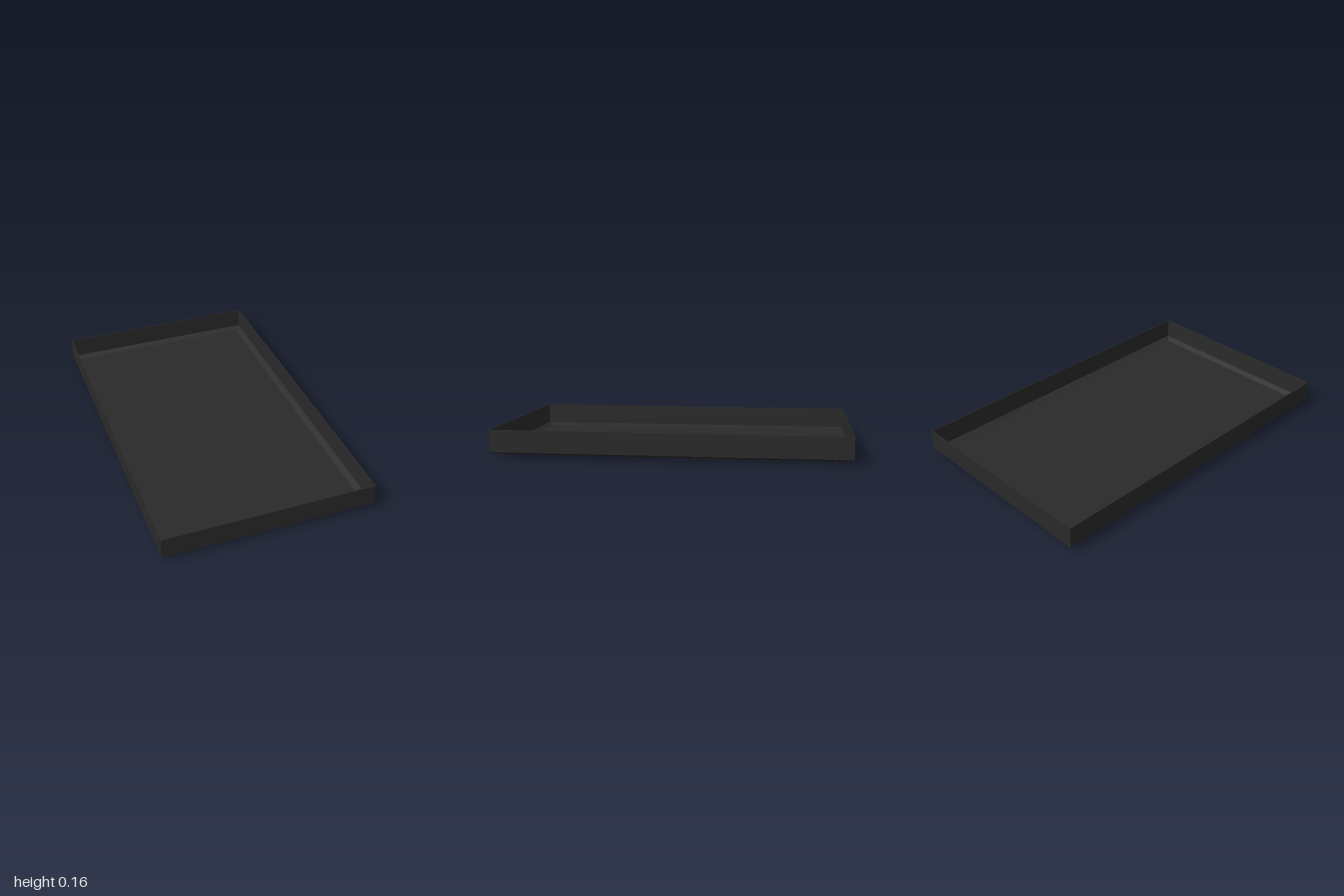
import * as THREE from 'three';

const DARK = new THREE.MeshStandardMaterial({ color: 0x2a2a2a, flatShading: true, side: THREE.DoubleSide });
const GREY = new THREE.MeshStandardMaterial({ color: 0xcccccc });

// Lofts rectangular rings [halfX, y, halfZ] into a closed, flat-faced shell
function loftRectangles(rings) {
  const points = [];
  const corners = ([x, y, z]) => [[x, y, z], [x, y, -z], [-x, y, -z], [-x, y, z]];
  const quad = (a, b, c, d) => points.push(...a, ...b, ...c, ...a, ...c, ...d);
  for (let r = 0; r < rings.length - 1; r++) {
    const low = corners(rings[r]), high = corners(rings[r + 1]);
    for (let i = 0; i < 4; i++) {
      const j = (i + 1) % 4;
      quad(low[i], low[j], high[j], high[i]);
    }
  }
  const [a, b, c, d] = corners(rings[0]);
  quad(d, c, b, a);
  quad(...corners(rings[rings.length - 1]));
  const geometry = new THREE.BufferGeometry();
  geometry.setAttribute('position', new THREE.Float32BufferAttribute(points, 3));
  geometry.computeVertexNormals();
  return geometry;
}

// Square pad with rounded corners, lying flat
function padGeometry(half, radius, thickness) {
  const k = half - radius;
  const shape = new THREE.Shape();
  shape.absarc(k, k, radius, 0, Math.PI / 2);
  shape.absarc(-k, k, radius, Math.PI / 2, Math.PI);
  shape.absarc(-k, -k, radius, Math.PI, Math.PI * 1.5);
  shape.absarc(k, -k, radius, Math.PI * 1.5, Math.PI * 2);
  return new THREE.ExtrudeGeometry(shape, { depth: thickness, bevelEnabled: false, curveSegments: 5 })
    .rotateX(-Math.PI / 2);
}

// Small diagonal wedge that narrows toward the ground
function footGeometry() {
  const geometry = new THREE.BoxGeometry(0.03, 0.016, 0.012);
  const position = geometry.attributes.position;
  for (let i = 0; i < position.count; i++) {
    if (position.getY(i) < 0) position.setX(i, position.getX(i) * 0.7);
    else position.setZ(i, position.getZ(i) + 0.008);
  }
  return geometry.translate(0, 0.008, 0);
}

export function createModel() {
  const model = new THREE.Group();
  model.name = 'tray';

  // Thin-walled tray with a chamfered lower edge
  const tray = new THREE.Mesh(loftRectangles([
    [0.565, 0.015, 0.96],
    [0.605, 0.03, 1],
    [0.605, 0.155, 1],
    [0.6, 0.155, 0.995],
    [0.6, 0.033, 0.995],
    [0.565, 0.019, 0.96],
  ]), DARK);
  tray.name = 'trayShell';
  model.add(tray);

  // Three by five underside pads, each with a foot at every corner
  const pad = padGeometry(0.165, 0.03, 0.003);
  const foot = footGeometry();
  const pitch = 0.38;
  for (let column = -1; column <= 1; column++) {
    for (let row = -2; row <= 2; row++) {
      const cell = new THREE.Group();
      cell.name = 'undersidePad';
      cell.position.set(column * pitch, 0, row * pitch);
      const panel = new THREE.Mesh(pad, GREY);
      panel.name = 'padPanel';
      panel.position.y = 0.0135;
      cell.add(panel);
      for (const sx of [-1, 1]) for (const sz of [-1, 1]) {
        const corner = new THREE.Mesh(foot, DARK);
        corner.name = 'cornerFoot';
        corner.position.set(sx * 0.158, 0, sz * 0.158);
        corner.rotation.y = Math.atan2(sx, sz);
        cell.add(corner);
      }
      model.add(cell);
    }
  }
  return model;
}
